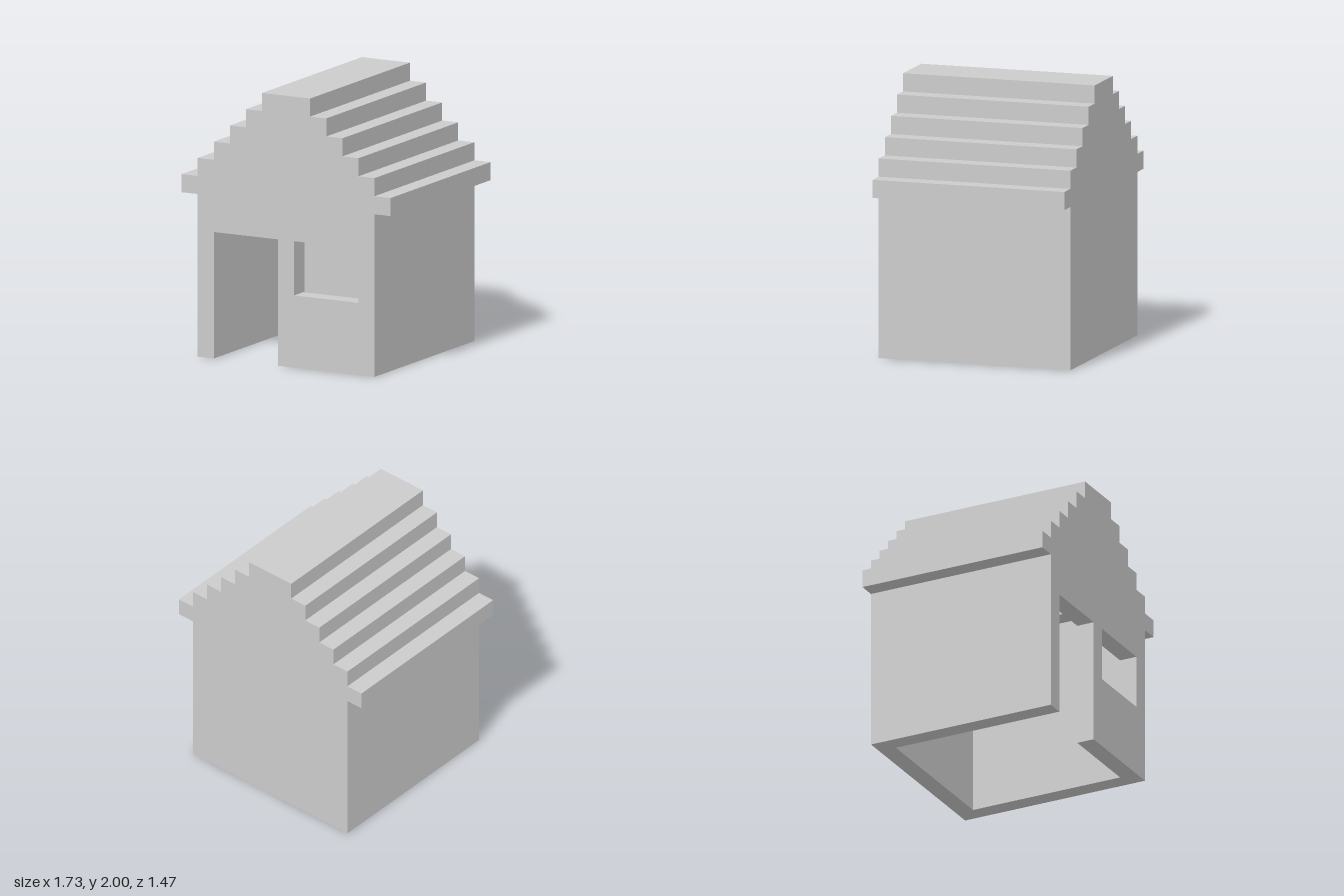
import * as THREE from 'three';

const U = 2 / 15; // one building block
const WALL = 5.5, EAVE = 9, TOP = 15, THICK = 1, DEPTH = 11;

// Right-hand stepped outline, from the foot of the wall up to the ridge
function steppedSide() {
  const pts = [[WALL, 0], [WALL, EAVE]];
  for (let y = EAVE; y < TOP; y++) {
    const x = WALL + 1 - (y - EAVE);
    pts.push([x, y], [x, y + 1]);
  }
  return pts;
}

// Right-hand outline of the room: each roof course is two blocks wide
function roomSide() {
  const pts = [[WALL - THICK, 0]];
  for (let y = EAVE + 1; y < TOP; y++) {
    const x = WALL - (y - EAVE);
    pts.push([x, y], [x - 1, y]);
  }
  pts.pop();
  return pts;
}

const toVec = ([x, y]) => new THREE.Vector2(x * U, y * U);
const mirror = (pts) => pts.map(([x, y]) => [-x, y]).reverse();

function extrude(name, points, z0, depth, hole) {
  const shape = new THREE.Shape(points.map(toVec));
  if (hole) shape.holes.push(new THREE.Path(hole.map(toVec)));
  const geometry = new THREE.ExtrudeGeometry(shape, { depth: depth * U, bevelEnabled: false });
  geometry.translate(0, 0, z0 * U);
  const mesh = new THREE.Mesh(geometry, new THREE.MeshStandardMaterial({ color: 0xcccccc }));
  mesh.name = name;
  return mesh;
}

export function createModel() {
  const house = new THREE.Group();
  house.name = 'house';

  const side = steppedSide();
  const outline = [...side, ...mirror(side)];
  const room = roomSide();

  // Front gable: doorway cut up from the ground, window as a hole
  const door = [[-4.5, 0], [-4.5, 7], [-0.5, 7], [-0.5, 0]];
  const window = [[0.5, 4], [0.5, 7], [4.5, 7], [4.5, 4]];
  house.add(extrude('frontWall', [...outline, ...door], DEPTH / 2 - THICK, THICK, window));

  // Back gable: plain
  house.add(extrude('backWall', outline, -DEPTH / 2, THICK));

  // Side walls and stepped roof as one hollow shell, open underneath
  const cavity = [...room, ...mirror(room)].reverse();
  house.add(extrude('sideWallsAndRoof', [...outline, ...cavity], -DEPTH / 2 + THICK, DEPTH - 2 * THICK));

  return house;
}
